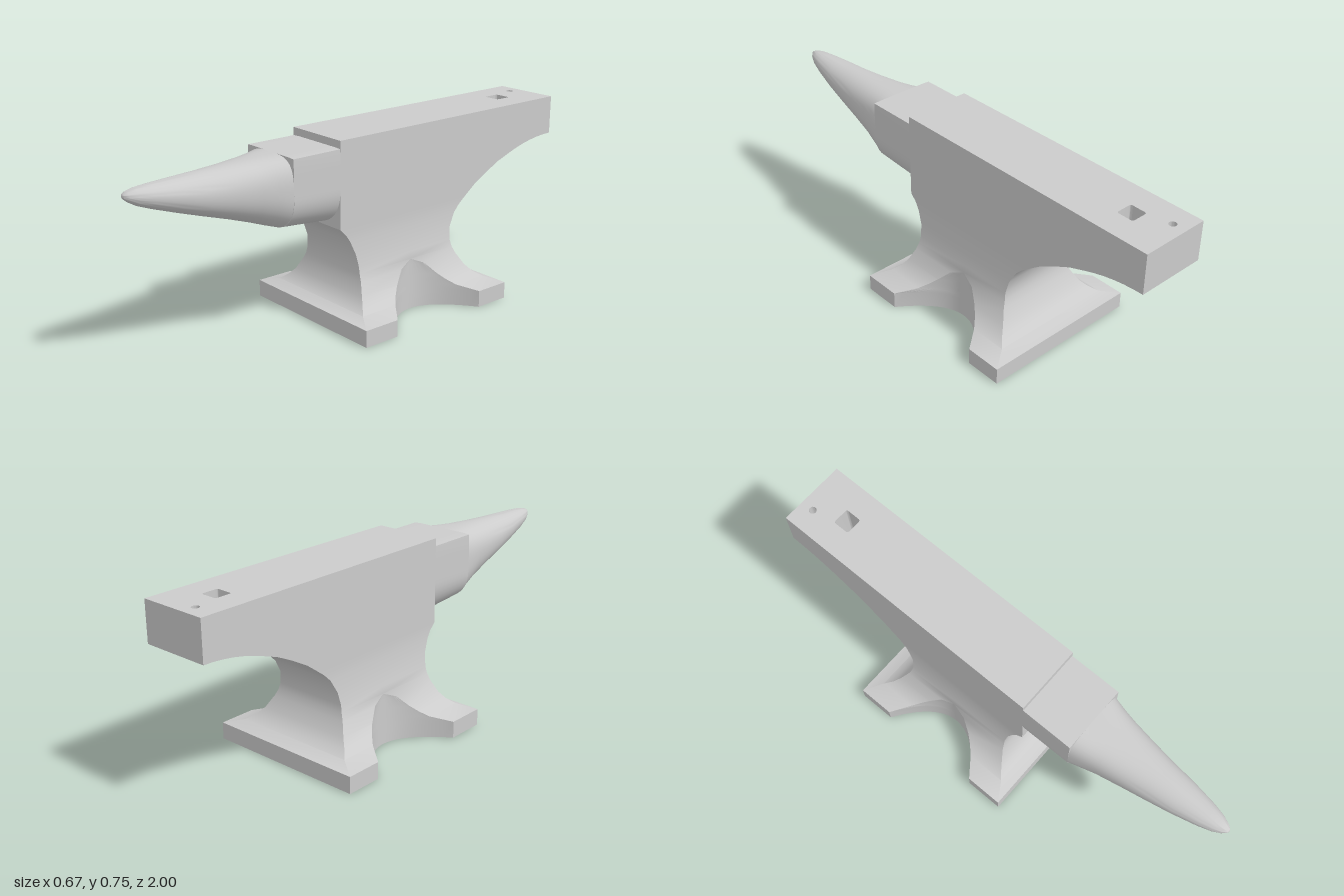
import * as THREE from 'three';
import { toCreasedNormals } from 'three/addons/utils/BufferGeometryUtils.js';

const material = new THREE.MeshStandardMaterial({ color: 0xcccccc, side: THREE.DoubleSide });

function part(name, geometry, crease = 0.6) {
  const mesh = new THREE.Mesh(toCreasedNormals(geometry, crease), material);
  mesh.name = name;
  return mesh;
}

// Skin a list of closed rings, leaving out triangles that collapse to a line
function loft(rings) {
  const out = [];
  const tri = new THREE.Triangle();
  const add = (a, b, c) => {
    if (tri.set(a, b, c).getArea() > 1e-8) for (const p of [a, b, c]) out.push(p.x, p.y, p.z);
  };
  for (let i = 0; i < rings.length - 1; i++) {
    const lo = rings[i], hi = rings[i + 1], n = lo.length;
    for (let j = 0; j < n; j++) {
      const k = (j + 1) % n;
      add(lo[j], lo[k], hi[k]);
      add(lo[j], hi[k], hi[j]);
    }
  }
  const g = new THREE.BufferGeometry();
  g.setAttribute('position', new THREE.Float32BufferAttribute(out, 3));
  return g;
}

// Horizontal outline of foot, waist and body; curved notches cut the sides of the foot
function bodyRing([y, w, front, back]) {
  const K = 20, notchX = 0.165, notchDepth = 0.17, notchZ = -0.163, notchHalf = 0.222;
  const open = Math.sqrt(Math.max(0, (w - notchX) / notchDepth));
  const side = [[w, front]];
  for (let k = 0; k <= K; k++) {
    const t = open * (1 - (2 * k) / K);
    side.push([Math.min(w, notchX + notchDepth * t * t), notchZ + notchHalf * t]);
  }
  side.push([w, back]);
  const mirrored = side.map(([x, z]) => [-x, z]).reverse();
  return [...side, ...mirrored].map(([x, z]) => new THREE.Vector3(x, y, z));
}

// Upright section of the horn: upper half squarish by power p, lower half rounded
function hornRing([z, w, top, mid, bottom, p]) {
  const N = 48, ring = [];
  for (let i = 0; i < N; i++) {
    const a = (i / N) * Math.PI * 2, c = Math.cos(a), s = Math.sin(a);
    const q = s > 0 ? p : 2.2;
    const r = Math.pow(Math.abs(c) ** q + Math.abs(s) ** q, -1 / q);
    ring.push(new THREE.Vector3(w * c * r, mid + (s > 0 ? top - mid : mid - bottom) * s * r, z));
  }
  return ring;
}

// Heel block with the square and round holes, its underside swept up in a curve
function heelGeometry() {
  const W = 0.14, H = 0.745, start = 0.75, steps = 6;
  const edge = [];
  for (let i = 0; i <= steps; i++) edge.push(new THREE.Vector2(W, start + (0.25 * i) / steps));
  const shape = new THREE.Shape([...edge, ...edge.map((p) => new THREE.Vector2(-W, p.y)).reverse()]);

  const h = 0.035, r = 0.01, cy = 0.813;
  const square = new THREE.Path();
  square.moveTo(-h + r, cy - h);
  square.lineTo(h - r, cy - h).quadraticCurveTo(h, cy - h, h, cy - h + r);
  square.lineTo(h, cy + h - r).quadraticCurveTo(h, cy + h, h - r, cy + h);
  square.lineTo(-h + r, cy + h).quadraticCurveTo(-h, cy + h, -h, cy + h - r);
  square.lineTo(-h, cy - h + r).quadraticCurveTo(-h, cy - h, -h + r, cy - h);
  const round = new THREE.Path().absarc(-0.05, 0.945, 0.015, 0, Math.PI * 2);
  shape.holes.push(square, round);

  const g = new THREE.ExtrudeGeometry(shape, { depth: H, bevelEnabled: false, curveSegments: 8 });
  g.rotateX(-Math.PI / 2);
  const pos = g.attributes.position;
  for (let i = 0; i < pos.count; i++) {
    if (pos.getY(i) < 0.01) pos.setY(i, 0.585 - 0.045 * ((1 + pos.getZ(i)) / 0.25) ** 2);
  }
  return g;
}

export function createModel() {
  const group = new THREE.Group();
  group.name = 'anvil';

  // Height, half width, front z, back z (open underneath)
  const body = [
    [0, 0.335, 0.215, -0.535], [0.068, 0.335, 0.215, -0.535],
    [0.088, 0.26, 0.168, -0.482], [0.11, 0.23, 0.143, -0.45],
    [0.137, 0.205, 0.125, -0.428], [0.185, 0.178, 0.107, -0.402],
    [0.212, 0.165, 0.102, -0.393], [0.24, 0.158, 0.1, -0.388],
    [0.29, 0.148, 0.107, -0.395], [0.345, 0.142, 0.13, -0.425],
    [0.375, 0.14, 0.15, -0.455], [0.4, 0.14, 0.175, -0.487],
    [0.44, 0.14, 0.175, -0.54], [0.48, 0.14, 0.175, -0.61],
    [0.515, 0.14, 0.175, -0.68], [0.54, 0.14, 0.175, -0.75],
    [0.745, 0.14, 0.175, -0.75],
  ];
  group.add(part('body', loft(body.map(bodyRing))));

  // Flat working face
  const face = new THREE.PlaneGeometry(0.28, 0.925).rotateX(-Math.PI / 2).translate(0, 0.745, -0.2875);
  group.add(part('face', face));

  group.add(part('heel', heelGeometry()));

  // z, half width, top, middle, bottom, squareness of the upper half
  const table = [
    [0.175, 0.14, 0.715, 0.56, 0.41, 60],
    [0.39, 0.14, 0.715, 0.56, 0.43, 60],
  ];
  const horn = [
    [0.39, 0.14, 0.715, 0.57, 0.43, 3.6], [0.44, 0.129, 0.712, 0.585, 0.447, 2.9],
    [0.5, 0.116, 0.708, 0.6, 0.47, 2.5], [0.6, 0.1, 0.703, 0.61, 0.505, 2.2],
    [0.7, 0.085, 0.699, 0.62, 0.537, 2], [0.8, 0.07, 0.695, 0.635, 0.57, 2],
    [0.9, 0.05, 0.691, 0.65, 0.605, 2], [0.95, 0.036, 0.688, 0.657, 0.625, 2],
    [0.98, 0.022, 0.682, 0.662, 0.643, 2], [0.995, 0.01, 0.675, 0.666, 0.656, 2],
    [1, 0, 0.667, 0.667, 0.667, 2],
  ];
  // The table's front ledge closes onto the start of the horn
  group.add(part('table', loft([...table, horn[0]].map(hornRing))));
  group.add(part('horn', loft(horn.map(hornRing)), 0.9));
  return group;
}
